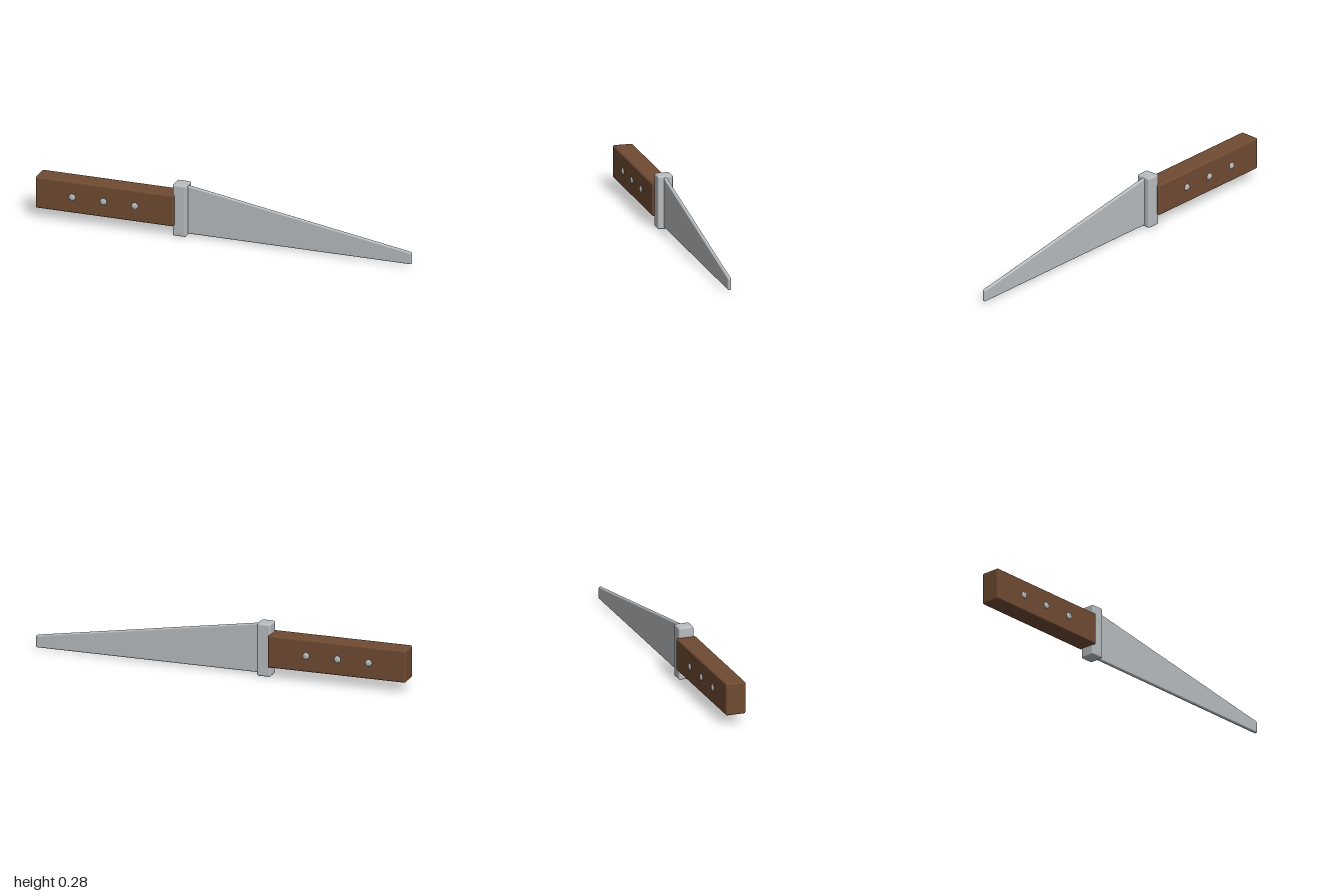
import * as THREE from 'three';
import { RoundedBoxGeometry } from 'three/addons/geometries/RoundedBoxGeometry.js';

const material = (name, color) => {
  const m = new THREE.MeshStandardMaterial({ color });
  m.name = name;
  return m;
};

// Rounded box given by its min and max corners
function roundedBox([x0, y0, z0], [x1, y1, z1], radius) {
  const g = new RoundedBoxGeometry(x1 - x0, y1 - y0, z1 - z0, 4, radius);
  return g.translate((x0 + x1) / 2, (y0 + y1) / 2, (z0 + z1) / 2);
}

// Blade: the spine slopes down towards the tip, the cutting edge stays level
function bladeGeometry() {
  const x0 = -0.22, x1 = 0.997, top = 0.276, tip = 0.075;
  const g = roundedBox([x0, 0.01, -0.0095], [x1, top, 0.0095], 0.009);
  const slope = (top - tip) / (x1 - x0);
  const p = g.attributes.position, n = g.attributes.normal;
  const v = new THREE.Vector3();
  for (let i = 0; i < p.count; i++) {
    if (p.getY(i) < top / 2) continue;
    p.setY(i, p.getY(i) - slope * (p.getX(i) - x0));
    v.fromBufferAttribute(n, i);
    v.x += slope * v.y;
    v.normalize();
    n.setXYZ(i, v.x, v.y, v.z);
  }
  return g;
}

export function createModel() {
  const group = new THREE.Group();
  const wood = material('brown wood', 0x6f4b32);
  const steel = material('grey steel', 0xb9bdc0);

  const add = (name, geometry, mat) => {
    const mesh = new THREE.Mesh(geometry, mat);
    mesh.name = name;
    group.add(mesh);
    return mesh;
  };

  add('handle', roundedBox([-1, 0.056, -0.053], [-0.26, 0.227, 0.053], 0.01), wood);
  add('guard', roundedBox([-0.272, 0.002, -0.04], [-0.198, 0.281, 0.04], 0.01), steel);
  add('blade', bladeGeometry(), steel);

  // Rivets run through the handle and end in a low dome on each side
  const half = [[0.018, 0.05], [0.0175, 0.054], [0.0145, 0.058], [0.009, 0.06], [0, 0.0605]];
  const profile = [
    ...half.map(([r, z]) => new THREE.Vector2(r, -z)).reverse(),
    ...half.map(([r, z]) => new THREE.Vector2(r, z)),
  ];
  const rivet = new THREE.LatheGeometry(profile, 20).rotateX(Math.PI / 2);
  [-0.803, -0.636, -0.468].forEach((x, i) => {
    add('rivet' + (i + 1), rivet, steel).position.set(x, 0.142, 0);
  });

  return group;
}
